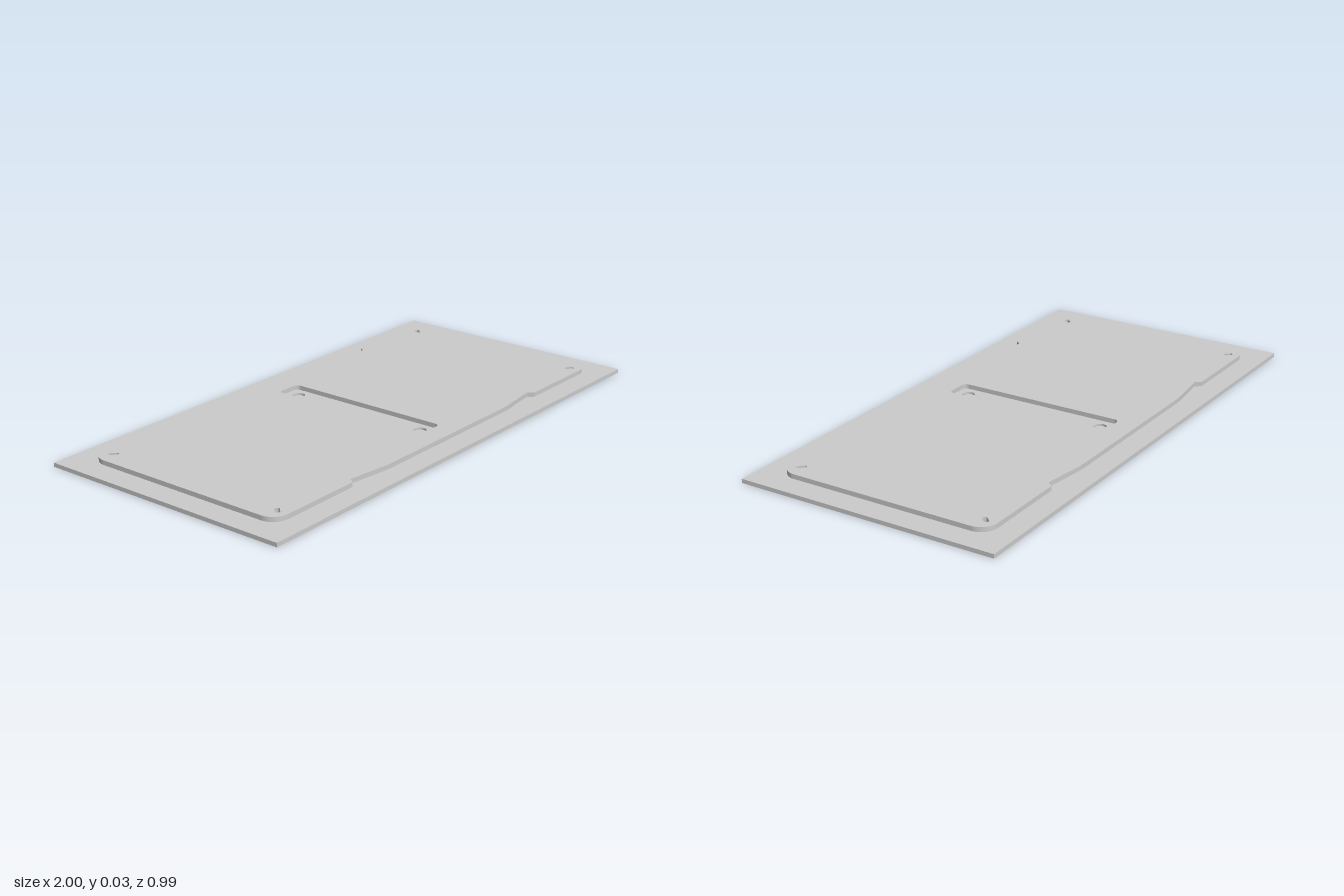
import * as THREE from 'three';

const material = new THREE.MeshStandardMaterial({ color: 0xcccccc });

// Horizontal slab from a plan shape, lying between heights y0 and y1
function slab(name, shape, y0, y1) {
  const geo = new THREE.ExtrudeGeometry(shape, { depth: y1 - y0, bevelEnabled: false, curveSegments: 10 });
  geo.rotateX(-Math.PI / 2);
  geo.translate(0, y0, 0);
  const mesh = new THREE.Mesh(geo, material);
  mesh.name = name;
  return mesh;
}

function rect(w, d) {
  const x = w / 2, y = d / 2;
  return new THREE.Shape([[-x, -y], [x, -y], [x, y], [-x, y]].map(p => new THREE.Vector2(...p)));
}

// Rectangle with rounded corners, half sizes x and y
function roundedPath(x, y, r) {
  const p = new THREE.Path();
  p.absarc(x - r, y - r, r, 0, Math.PI / 2);
  p.absarc(-x + r, y - r, r, Math.PI / 2, Math.PI);
  p.absarc(-x + r, -y + r, r, Math.PI, Math.PI * 1.5);
  p.absarc(x - r, -y + r, r, Math.PI * 1.5, Math.PI * 2);
  p.closePath();
  return p;
}

// Rounded slot of half length l and radius r, turned by angle a
function slotPath(x, y, l, r, a) {
  const p = new THREE.Path();
  const dx = Math.cos(a) * l, dy = Math.sin(a) * l;
  p.absarc(x + dx, y + dy, r, a - Math.PI / 2, a + Math.PI / 2);
  p.absarc(x - dx, y - dy, r, a + Math.PI / 2, a + Math.PI * 1.5);
  p.closePath();
  return p;
}

// Rounded plate with two tapered finger notches on each long edge
function plateShape() {
  const X = 0.91, Y = 0.41, R = 0.06;
  const s = new THREE.Shape();
  for (const k of [1, -1]) {
    s.absarc(k * (X - R), k * (Y - R), R, k > 0 ? 0 : Math.PI, k > 0 ? Math.PI / 2 : Math.PI * 1.5);
    s.lineTo(k * 0.535, k * Y);
    s.lineTo(k * 0.52, k * 0.39);
    s.quadraticCurveTo(k * 0.515, k * 0.388, k * 0.505, k * 0.39);
    s.lineTo(k * 0.37, k * 0.407);
    s.quadraticCurveTo(k * 0.35, k * Y, k * 0.33, k * Y);
    s.lineTo(-k * 0.33, k * Y);
    s.quadraticCurveTo(-k * 0.35, k * Y, -k * 0.37, k * 0.407);
    s.lineTo(-k * 0.505, k * 0.39);
    s.quadraticCurveTo(-k * 0.515, k * 0.388, -k * 0.52, k * 0.39);
    s.lineTo(-k * 0.535, k * Y);
    s.absarc(-k * (X - R), k * (Y - R), R, k > 0 ? Math.PI / 2 : -Math.PI / 2, k > 0 ? Math.PI : 0);
  }
  s.closePath();
  return s;
}

export function createModel() {
  const group = new THREE.Group();
  group.name = 'panel';

  // Base sheet: solid underside, upper layer with two blind holes
  const upper = rect(2, 0.99);
  for (const k of [1, -1]) upper.holes.push(slotPath(0, k * 0.28, 0.004, 0.022, 0));
  group.add(slab('baseUnderside', rect(2, 0.99), 0, 0.007));
  group.add(slab('baseTop', upper, 0.007, 0.015));

  // Raised plate with a central slot and a small diagonal slot at each corner
  const plate = plateShape();
  plate.holes.push(roundedPath(0.05, 0.33, 0.02));
  for (const kx of [1, -1]) for (const ky of [1, -1]) {
    plate.holes.push(slotPath(kx * 0.85, ky * 0.365, 0.009, 0.009, Math.atan2(ky, kx)));
  }
  group.add(slab('raisedPlate', plate, 0.015, 0.032));
  return group;
}
